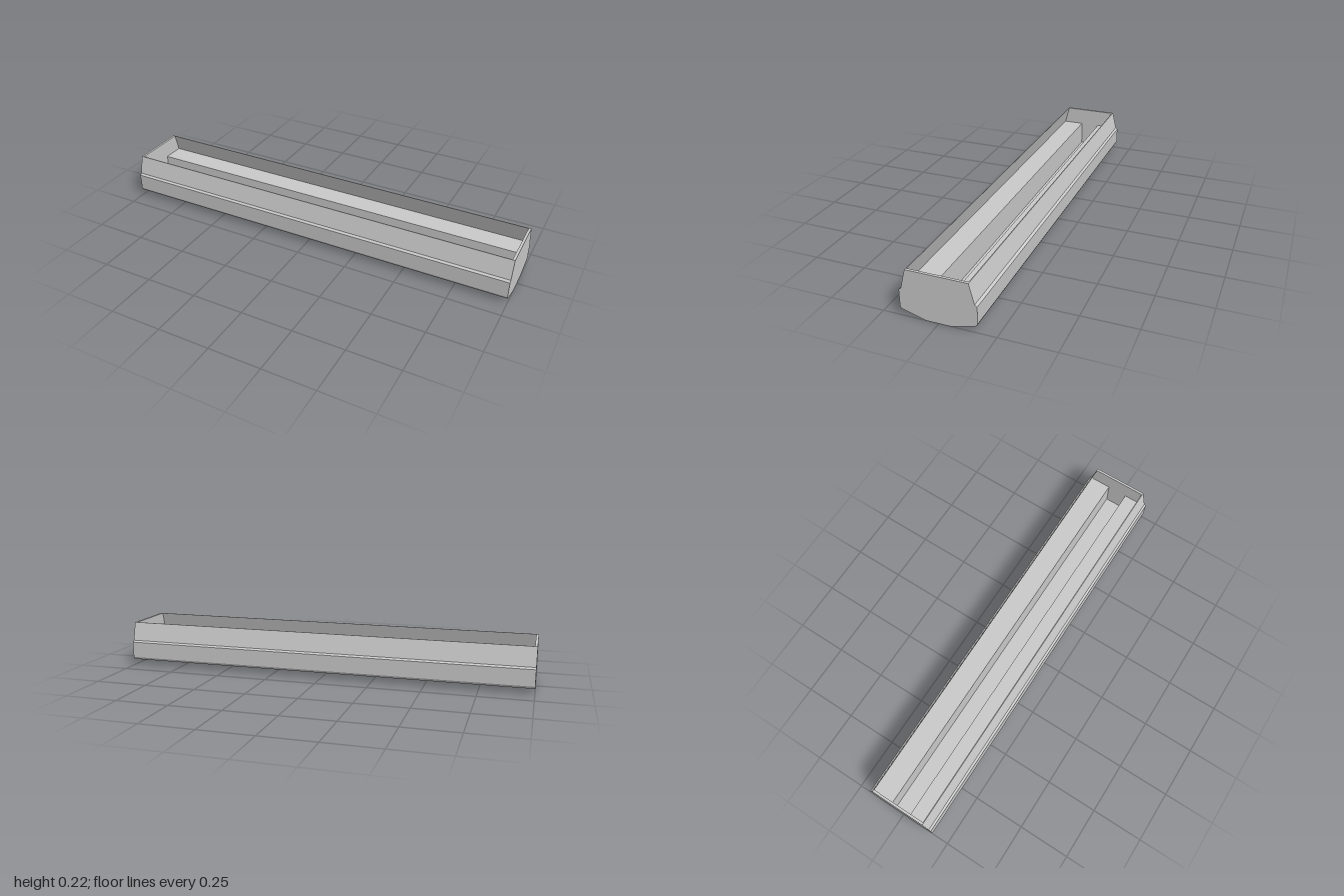
import * as THREE from 'three';

const mat = new THREE.MeshStandardMaterial({ color: 0xcccccc, side: THREE.DoubleSide });

// Extrude a (z, y) outline along x, centred on x
function extrudeX(points, length, x = 0) {
  const shape = new THREE.Shape(points.map(([z, y]) => new THREE.Vector2(z, y)));
  const g = new THREE.ExtrudeGeometry(shape, { depth: length, bevelEnabled: false });
  g.translate(0, 0, -length / 2);
  g.rotateY(-Math.PI / 2);
  g.translate(x, 0, 0);
  return g;
}

function add(group, name, geometry) {
  const mesh = new THREE.Mesh(geometry, mat);
  mesh.name = name;
  group.add(mesh);
  return mesh;
}

export function createModel() {
  const group = new THREE.Group();
  group.name = 'linearLamp';
  const t = 0.004; // sheet thickness
  const wall = [[0.165, 0.031], [0.17, 0.042], [0.17, 0.12], [0.16, 0.128], [0.137, 0.218]];

  // Long side walls, thin folded sheets open at top and bottom
  for (const s of [-1, 1]) {
    const inner = wall.map(([z, y]) => [z - t, y]).reverse();
    const outline = [...wall, ...inner].map(([z, y]) => [s * z, y]);
    add(group, 'sideWall', extrudeX(outline, 1.99));
  }

  // End plates with the shallow keel below
  const half = [[0.057, 0], ...wall];
  const plate = [...half, ...half.map(([z, y]) => [-z, y]).reverse()];
  for (const s of [-1, 1]) add(group, 'endPlate', extrudeX(plate, 0.012, s * 0.994));

  // Tray floor that drops into a channel forming the central spine
  const top = [[0.157, 0.13], [0.05, 0.13], [0.048, 0.005 + t]];
  const under = [[0.052, 0.005], [0.054, 0.13 - t], [0.157, 0.13 - t]];
  const mirror = (pts) => pts.map(([z, y]) => [-z, y]).reverse();
  add(group, 'reflectorTray', extrudeX([...top, ...mirror(top), ...mirror(under), ...under], 1.976));

  // Tubes in the two recesses, with a holder at each end
  for (const s of [-1, 1]) {
    const tube = new THREE.CylinderGeometry(0.026, 0.026, 1.9, 32);
    tube.rotateZ(Math.PI / 2);
    add(group, 'lampTube', tube).position.set(0, 0.066, s * 0.108);
    for (const e of [-1, 1]) {
      const holder = new THREE.BoxGeometry(0.04, 0.092, 0.05);
      add(group, 'tubeHolder', holder).position.set(e * 0.968, 0.081, s * 0.108);
    }
  }
  return group;
}
